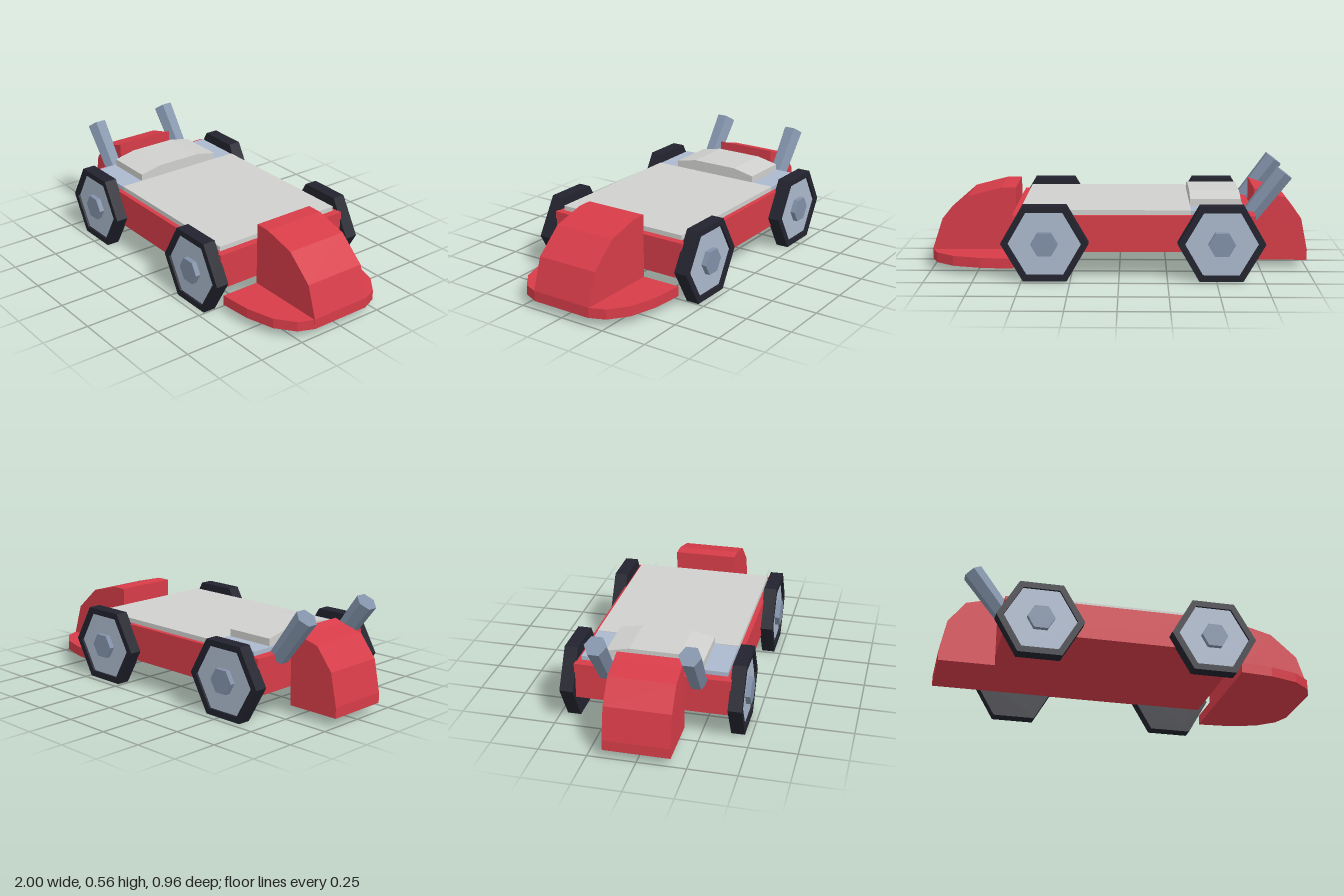
import * as THREE from 'three';

export function createModel() {
  const model = new THREE.Group();
  model.name = 'raceCar';

  const material = (name, color) => {
    const m = new THREE.MeshStandardMaterial({ color, flatShading: true });
    m.name = name;
    return m;
  };
  const red = material('bodyRed', 0xd63c48);
  const grey = material('deckGrey', 0xcfcfcd);
  const pale = material('paleSteel', 0xabb8cc);
  const steel = material('darkSteel', 0x8191a8);
  const black = material('tireBlack', 0x22232e);

  const add = (name, geometry, mat, parent = model) => {
    const mesh = new THREE.Mesh(geometry, mat);
    mesh.name = name;
    parent.add(mesh);
    return mesh;
  };
  // Box given by its lower and upper limits
  const box = (x0, x1, y0, y1, z) =>
    new THREE.BoxGeometry(x1 - x0, y1 - y0, 2 * z).translate((x0 + x1) / 2, (y0 + y1) / 2, 0);
  const outline = (points) => new THREE.Shape(points.map(([x, y]) => new THREE.Vector2(x, y)));
  const extrude = (shape, depth) =>
    new THREE.ExtrudeGeometry(shape, { depth, bevelEnabled: false });
  const hexagon = (r) => Array.from({ length: 6 }, (_, i) =>
    [r * Math.cos(i * Math.PI / 3), r * Math.sin(i * Math.PI / 3)]);

  // Chassis and the panels on top of it
  add('chassis', box(-0.7, 0.55, 0.14, 0.33, 0.4), red);
  add('deck', box(-0.37, 0.51, 0.33, 0.355, 0.375), grey);
  add('engineBay', box(-0.65, -0.37, 0.33, 0.352, 0.375), pale);

  // Arched engine cover, cross-section in z and y
  const arch = outline([[-0.25, 0.34], [0.25, 0.34], [0.25, 0.39], [0.13, 0.415],
    [-0.13, 0.415], [-0.25, 0.39]]);
  add('engineCover', extrude(arch, 0.265).rotateY(Math.PI / 2).translate(-0.635, 0, 0), grey);

  // Nose and tail, side profiles
  const nose = outline([[0.55, 0.045], [1, 0.045], [1, 0.1], [0.945, 0.265], [0.805, 0.387],
    [0.63, 0.433], [0.55, 0.434]]);
  add('nose', extrude(nose, 0.342).translate(0, 0, -0.171), red);
  const tail = outline([[-1, 0.045], [-0.71, 0.045], [-0.71, 0.434], [-0.76, 0.415],
    [-0.875, 0.385], [-0.965, 0.27], [-1, 0.1]]);
  add('tail', extrude(tail, 0.342).translate(0, 0, -0.171), red);

  // Front splitter, mirrored plan outline
  const edge = [[0.55, 0.383], [0.72, 0.368], [0.87, 0.325], [0.965, 0.25], [0.998, 0.171]];
  const plan = outline([...edge, ...edge.map(([x, z]) => [x, -z]).reverse()]);
  add('splitter', extrude(plan, 0.053).rotateX(Math.PI / 2).translate(0, 0.098, 0), red);

  // Six-sided wheels
  const ring = outline(hexagon(0.225));
  ring.holes.push(new THREE.Path(hexagon(0.188).map(([x, y]) => new THREE.Vector2(x, y))));
  const tire = extrude(ring, 0.07);
  const backing = extrude(outline(hexagon(0.19)), 0.045);
  const hub = extrude(outline(hexagon(0.19)), 0.013).translate(0, 0, 0.045);
  const nut = extrude(outline(hexagon(0.07)), 0.03).translate(0, 0, 0.055);
  for (const side of [1, -1]) {
    for (const [place, x] of [['front', 0.38], ['rear', -0.525]]) {
      const wheel = new THREE.Group();
      wheel.name = place + (side > 0 ? 'WheelA' : 'WheelB');
      wheel.position.set(x, 0.195, side * 0.395);
      if (side < 0) wheel.rotation.y = Math.PI;
      add('tire', tire, black, wheel);
      add('wheelBack', backing, black, wheel);
      add('hub', hub, pale, wheel);
      add('axleNut', nut, steel, wheel);
      model.add(wheel);
    }
  }

  // Slanted exhaust pipes
  const low = new THREE.Vector3(-0.685, 0.305, 0);
  const high = new THREE.Vector3(-0.857, 0.532, 0);
  const axis = high.clone().sub(low);
  const pipe = new THREE.CylinderGeometry(0.057, 0.05, axis.length(), 6);
  for (const side of [1, -1]) {
    const exhaust = add(side > 0 ? 'exhaustA' : 'exhaustB', pipe, steel);
    exhaust.position.copy(low).add(high).multiplyScalar(0.5).setZ(side * 0.232);
    exhaust.rotation.z = Math.atan2(-axis.x, axis.y);
  }

  return model;
}
